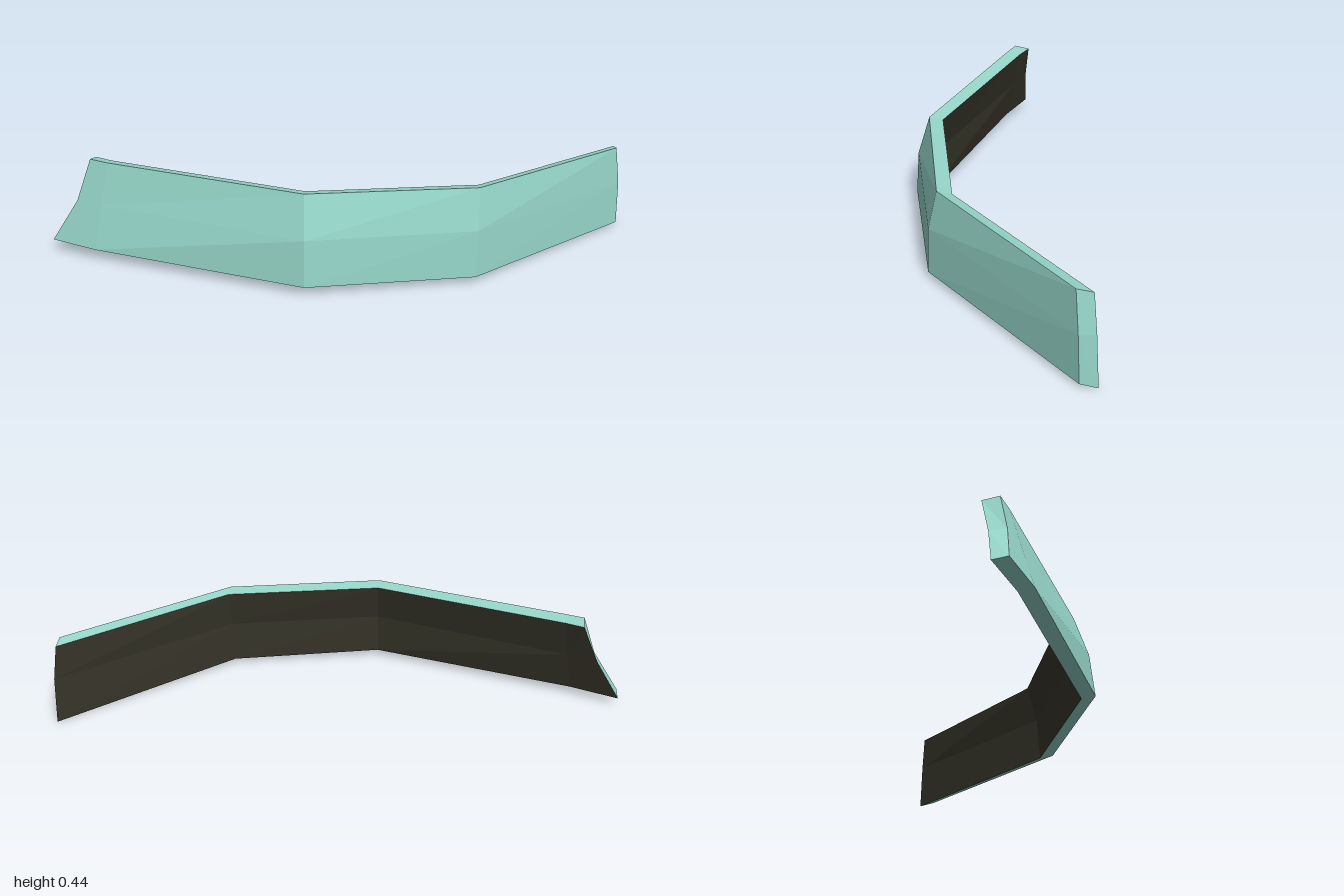
import * as THREE from 'three';

// Rails running from the right end (-x) to the left end (+x): [x, y, z]
const outer = [
  [[-1, 0.055, -0.88], [-0.94, 0.052, -0.65], [-0.58, 0.04, 0.29], [-0.01, 0.03, 0.76], [0.945, 0.018, 0.92]],
  [[-0.92, 0.25, -0.78], [-0.885, 0.25, -0.65], [-0.565, 0.245, 0.28], [0, 0.24, 0.755], [0.935, 0.225, 0.917]],
  [[-0.86, 0.44, -0.74], [-0.835, 0.437, -0.65], [-0.52, 0.43, 0.24], [0.035, 0.42, 0.73], [0.91, 0.402, 0.902]],
];
const inner = [
  [[-0.95, 0.04, -0.92], [-0.89, 0.037, -0.69], [-0.53, 0.027, 0.25], [0.04, 0.018, 0.72], [1, 0, 0.875]],
  [[-0.87, 0.235, -0.83], [-0.833, 0.235, -0.69], [-0.515, 0.23, 0.24], [0.05, 0.225, 0.715], [0.985, 0.225, 0.872]],
  [[-0.8, 0.425, -0.78], [-0.78, 0.423, -0.69], [-0.47, 0.417, 0.2], [0.085, 0.408, 0.69], [0.96, 0.388, 0.86]],
];

// Flat-faced strip between two rails; faces front when a runs below b
function strip(a, b) {
  const points = [];
  for (let i = 0; i < a.length - 1; i++) {
    points.push(a[i], a[i + 1], b[i + 1], a[i], b[i + 1], b[i]);
  }
  return points;
}

function makeMesh(name, points, material) {
  const geometry = new THREE.BufferGeometry();
  geometry.setAttribute('position', new THREE.Float32BufferAttribute(points.flat(), 3));
  geometry.computeVertexNormals();
  const mesh = new THREE.Mesh(geometry, material);
  mesh.name = name;
  return mesh;
}

export function createModel() {
  const mint = new THREE.MeshStandardMaterial({ color: 0x96d6c9 });
  mint.name = 'mint shell';
  const dark = new THREE.MeshStandardMaterial({ color: 0x38362a });
  dark.name = 'dark lining';

  const group = new THREE.Group();
  group.name = 'curvedPanel';
  const column = (rails, i) => rails.map((rail) => rail[i]);
  const last = outer[0].length - 1;

  // Convex outside and concave lining, two bands each
  group.add(makeMesh('outerShell', [...strip(outer[0], outer[1]), ...strip(outer[1], outer[2])], mint));
  group.add(makeMesh('innerLining', [...strip(inner[1], inner[0]), ...strip(inner[2], inner[1])], dark));

  // Rims along the long edges and caps at both ends
  group.add(makeMesh('topRim', strip(outer[2], inner[2]), mint));
  group.add(makeMesh('bottomRim', strip(inner[0], outer[0]), mint));
  group.add(makeMesh('rightEndCap', strip(column(outer, 0), column(inner, 0)), mint));
  group.add(makeMesh('leftEndCap', strip(column(inner, last), column(outer, last)), mint));
  return group;
}
